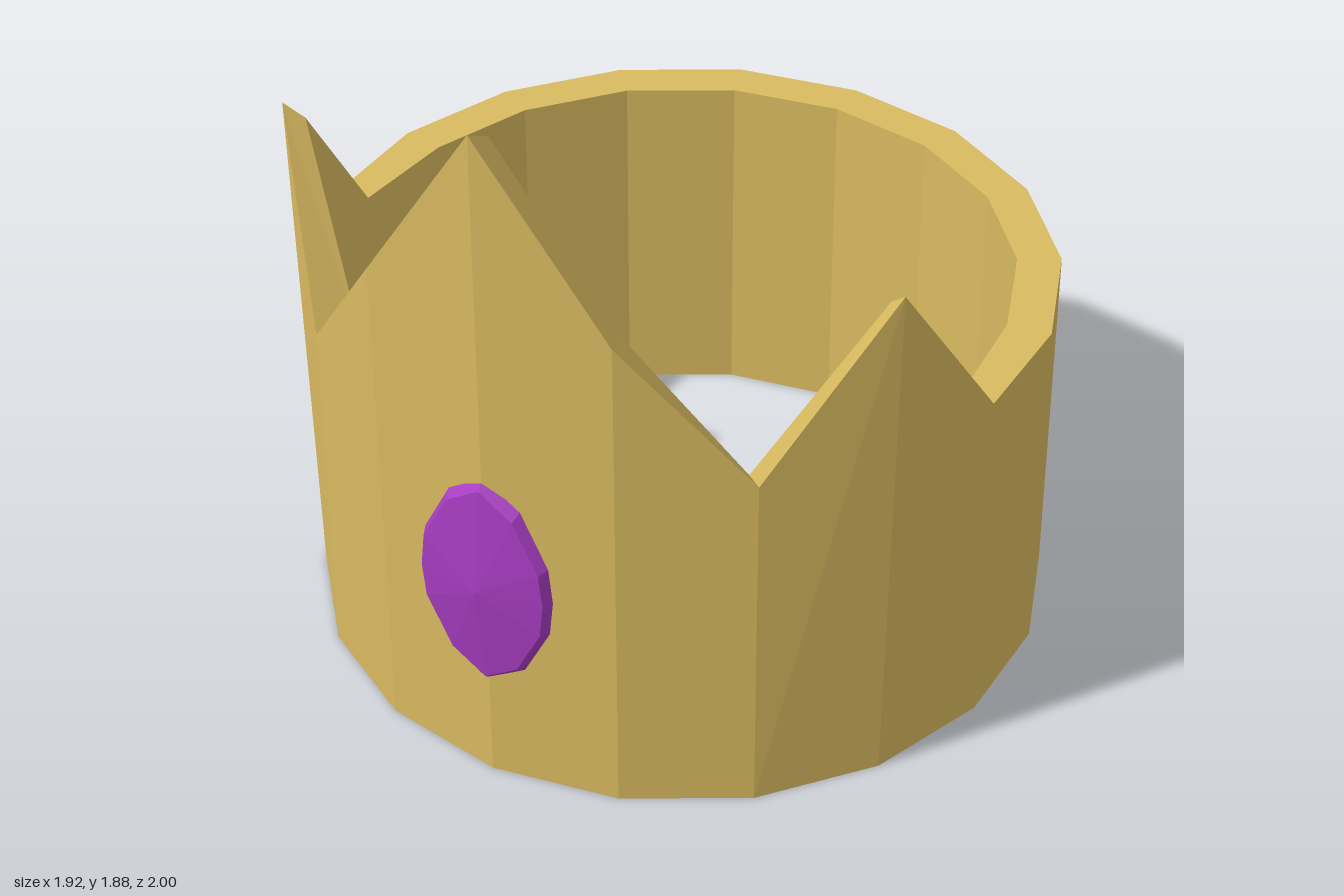
import * as THREE from 'three';

// Flat-faceted skin over a closed loop of cross-sections (arrays of [x, y, z])
function loft(sections, closedProfile) {
  const pos = [];
  const n = sections.length, m = sections[0].length;
  for (let i = 0; i < n; i++) {
    const s0 = sections[i], s1 = sections[(i + 1) % n];
    for (let k = 0; k < (closedProfile ? m : m - 1); k++) {
      const j = (k + 1) % m;
      pos.push(...s1[k], ...s0[k], ...s0[j], ...s1[k], ...s0[j], ...s1[j]);
    }
  }
  const geo = new THREE.BufferGeometry();
  geo.setAttribute('position', new THREE.Float32BufferAttribute(pos, 3));
  geo.computeVertexNormals();
  return geo;
}

function part(name, geo, color) {
  const mesh = new THREE.Mesh(geo, new THREE.MeshStandardMaterial({ color, flatShading: true }));
  mesh.name = name;
  return mesh;
}

// Eighteen-sided band whose rim rises into three points at the front
function bandGeometry() {
  const SIDES = 18, OUTER = 0.975, INNER = 0.86, CZ = -0.025;
  // rim by steps from the back: [outer radius, outer y, inner radius, inner y]
  const rim = {
    5: [0.975, 0.975, 0.885, 0.975],
    6: [1.0, 1.455, 0.945, 1.41],
    7: [0.975, 0.98, 0.86, 0.93],
    8: [0.98, 1.38, 0.86, 1.33],
    9: [0.975, 1.88, 0.888, 1.83],
  };
  const sections = [];
  for (let i = 0; i < SIDES; i++) {
    const a = (i / SIDES) * Math.PI * 2;
    const [ro, yo, ri, yi] = rim[Math.min(i, SIDES - i)] || [OUTER, 0.975, INNER, 0.975];
    const at = (r, y) => [r * Math.sin(a), y, CZ - r * Math.cos(a)];
    sections.push([at(OUTER, 0), at(ro, yo), at(ri, yi), at(INNER, 0)]);
  }
  return loft(sections, true);
}

// Oval gem: flat back, narrow bevel, shallow pointed face
function gemGeometry() {
  const quarter = [[0.186, 0], [0.175, 0.1], [0.1, 0.245]];
  const half = [...quarter, [0, 0.31], ...quarter.slice(1).reverse().map(([x, y]) => [-x, y])];
  const outline = [...half, ...half.map(([x, y]) => [-x, -y])];
  const rings = [[0, 0.937], [1, 0.94], [0.93, 0.967], [0, 1.0]]; // [scale, z]
  const sections = outline.reverse().map(([x, y]) =>
    rings.map(([s, z]) => [x * s, 0.605 + y * s, z]));
  return loft(sections, false);
}

export function createModel() {
  const crown = new THREE.Group();
  crown.name = 'crown';
  crown.add(part('band', bandGeometry(), 0xd9ba60));
  crown.add(part('gem', gemGeometry(), 0xa63cc0));
  return crown;
}
